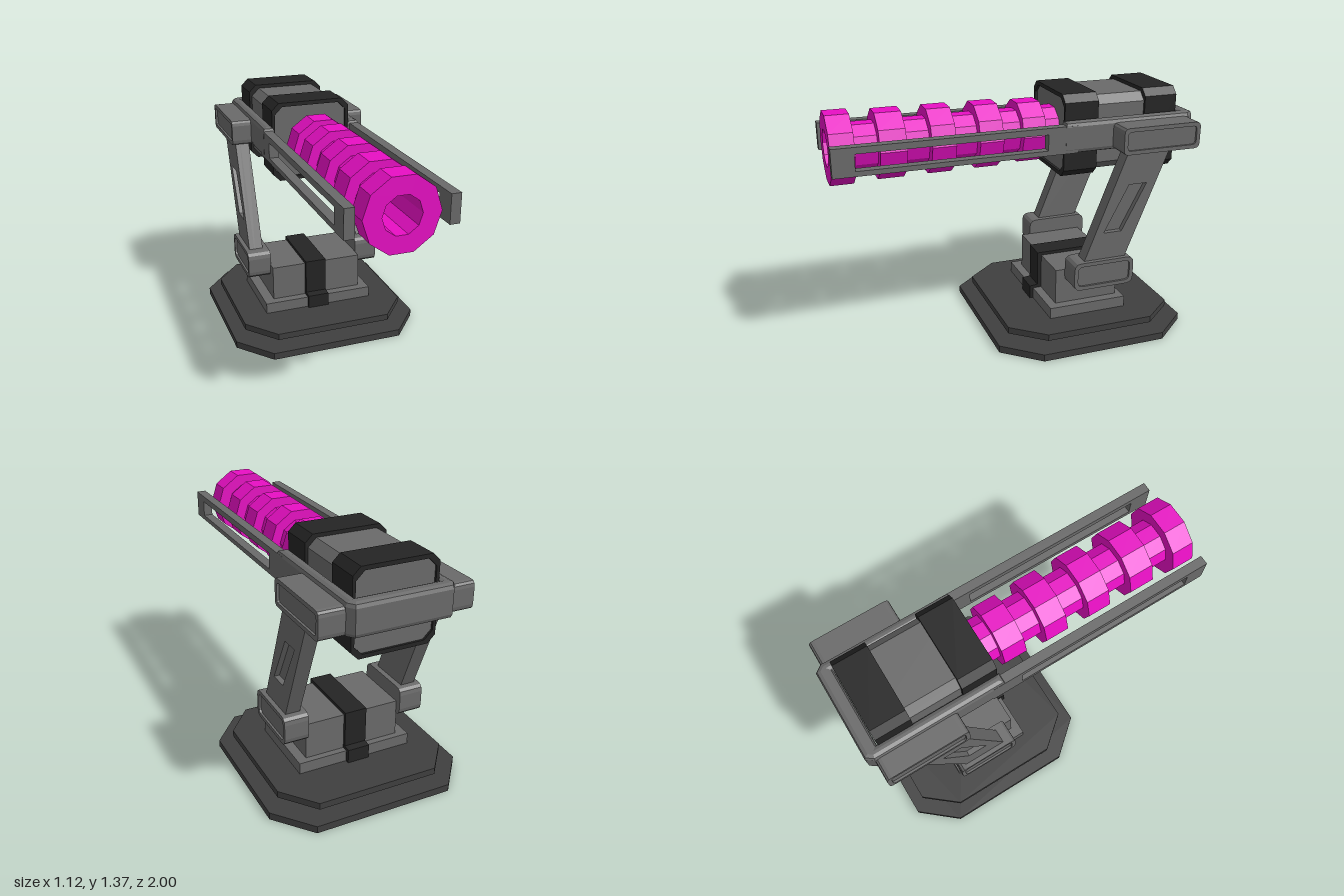
import * as THREE from 'three';

const mat = (color, extra = {}) => new THREE.MeshStandardMaterial({ color, flatShading: true, ...extra });
const AXIS_X = -0.01, AXIS_Y = 1.14;

// Rectangle between two corners with cut or rounded corners of size rx by ry
function cornered(Type, x0, y0, x1, y1, rx, ry = rx) {
  const s = new Type();
  s.moveTo(x0 + rx, y0);
  s.lineTo(x1 - rx, y0).quadraticCurveTo(x1, y0, x1, y0 + ry);
  s.lineTo(x1, y1 - ry).quadraticCurveTo(x1, y1, x1 - rx, y1);
  s.lineTo(x0 + rx, y1).quadraticCurveTo(x0, y1, x0, y1 - ry);
  s.lineTo(x0, y0 + ry).quadraticCurveTo(x0, y0, x0 + rx, y0);
  return s;
}

const polygon = (Type, pts) => new Type(pts.map(([x, y]) => new THREE.Vector2(x, y)));

// curveSegments 1 turns rounded corners into straight chamfers
const extrude = (shape, depth, curveSegments = 1, bevel = 0) => new THREE.ExtrudeGeometry(shape, {
  depth: depth - 2 * bevel, curveSegments, bevelEnabled: bevel > 0,
  bevelSize: bevel, bevelThickness: bevel, bevelOffset: -bevel, bevelSegments: 2,
}).translate(0, 0, bevel);

// Extrude a (z, y) outline across x0..x1
const alongX = (shape, x0, x1, seg) =>
  extrude(shape, x1 - x0, seg).rotateY(-Math.PI / 2).translate(x1, 0, 0);

// Extrude an (x, -z) outline upwards from y0 to y1
const alongY = (shape, y0, y1, bevel) =>
  extrude(shape, y1 - y0, 1, bevel).rotateX(-Math.PI / 2).translate(0, y0, 0);

export function createModel() {
  const model = new THREE.Group();
  model.name = 'mountedCannon';
  const grey = mat(0x6a6a6a), dark = mat(0x3f3f3f), black = mat(0x242424);
  const magenta = mat(0xe80fc4);

  const add = (name, geometry, material, parent = model) => {
    const mesh = new THREE.Mesh(geometry, material);
    mesh.name = name;
    parent.add(mesh);
    return mesh;
  };
  const box = (name, material, x0, x1, y0, y1, z0, z1) =>
    add(name, new THREE.BoxGeometry(x1 - x0, y1 - y0, z1 - z0)
      .translate((x0 + x1) / 2, (y0 + y1) / 2, (z0 + z1) / 2), material);

  // Stepped octagonal base: y0, y1, half width, front z, back z, corner cut
  [
    ['baseLower', 0, 0.04, 0.558, 0.188, -0.932, 0.17, 0.2],
    ['baseMiddle', 0.04, 0.08, 0.385, 0.01, -0.76, 0.11, 0.13],
    ['baseUpper', 0.08, 0.117, 0.49, 0.118, -0.865, 0.15, 0.18],
  ].forEach(([name, y0, y1, w, zf, zb, cx, cz]) =>
    add(name, alongY(cornered(THREE.Shape, -w, -zf, w, -zb, cx, cz), y0, y1), dark));

  // Pedestal with a strap over the middle
  box('pedestalSlab', grey, -0.335, 0.325, 0.115, 0.18, -0.60, -0.14);
  box('pedestalBlock', grey, -0.275, 0.272, 0.115, 0.385, -0.565, -0.19);
  const strap = polygon(THREE.Shape, [
    [-0.12, 0.115], [-0.12, 0.195], [-0.167, 0.2], [-0.167, 0.403],
    [-0.583, 0.403], [-0.583, 0.2], [-0.624, 0.195], [-0.624, 0.115],
  ]);
  add('pedestalStrap', alongX(strap, -0.075, 0.05), black);

  // Support arms: solid core plus an outer rim that leaves a recessed panel
  const armOutline = [[-0.29, 0.42], [-0.58, 1.16], [-0.83, 1.16], [-0.535, 0.42]];
  const armPanel = [[-0.42, 0.625], [-0.56, 0.89], [-0.666, 0.89], [-0.527, 0.625]];
  const recessed = (name, parent, side, outer, inner, x0, x1, recess, seg) => {
    const rim = outer();
    rim.holes.push(inner());
    const span = (a, b) => (side > 0 ? [a, b] : [-b, -a]);
    add(name + 'Core', alongX(outer(), ...span(x0, x1 - recess), seg), grey, parent);
    add(name + 'Rim', alongX(rim, ...span(x1 - recess, x1), seg), grey, parent);
  };
  const knuckle = (name, parent, side, zb, y0, zf, y1, x0, r) => recessed(name, parent, side,
    () => cornered(THREE.Shape, zb, y0, zf, y1, r),
    () => cornered(THREE.Path, zb + 0.022, y0 + 0.022, zf - 0.022, y1 - 0.022, r * 0.7),
    x0, 0.408, 0.012, 3);

  for (const side of [1, -1]) {
    const arm = new THREE.Group();
    arm.name = side > 0 ? 'leftArm' : 'rightArm';
    model.add(arm);
    recessed('strut', arm, side, () => polygon(THREE.Shape, armOutline),
      () => polygon(THREE.Path, armPanel), 0.302, 0.383, 0.03);
    knuckle('lowerKnuckle', arm, side, -0.6, 0.31, -0.243, 0.472, 0.272, 0.04);
    knuckle('upperKnuckle', arm, side, -0.962, 1.065, -0.505, 1.212, 0.27, 0.03);

    // Slotted guide rail beside the barrel
    const rail = polygon(THREE.Shape, [[-0.3, 1.065], [1, 1.065], [1, 1.215], [-0.3, 1.215]]);
    rail.holes.push(polygon(THREE.Path, [[-0.13, 1.092], [0.885, 1.092], [0.885, 1.18], [-0.13, 1.18]]));
    const cx = AXIS_X + side * 0.258;
    add(side > 0 ? 'leftRail' : 'rightRail', alongX(rail, cx - 0.026, cx + 0.026), grey);
  }

  // U-shaped yoke around the back of the housing
  const half = [[0.285, 0.23], [0.285, 0.96], [0.255, 1]];
  const inner = [[0.22, 0.92], [0.22, 0.23]];
  const flip = (pts) => pts.map(([x, y]) => [-x, y]).reverse();
  const yoke = polygon(THREE.Shape, [...half, ...flip(half), ...flip(inner), ...inner]);
  add('yoke', alongY(yoke, 1.06, 1.235, 0.025).translate(AXIS_X, 0, 0), grey);

  // Housing: grey core with two black bands
  const housing = (name, material, w, h, c, zb, zf) =>
    add(name, extrude(cornered(THREE.Shape, -w, -h, w, h, c), zf - zb)
      .translate(AXIS_X - 0.002, AXIS_Y - 0.003, zb), material);
  housing('housingCore', grey, 0.213, 0.208, 0.045, -0.9, -0.26);
  const bandShape = (zb, zf, name) => {
    const s = cornered(THREE.Shape, -0.228, -0.228, 0.228, 0.228, 0.04);
    s.holes.push(cornered(THREE.Path, -0.211, -0.206, 0.211, 0.206, 0.044));
    add(name, extrude(s, zf - zb).translate(AXIS_X - 0.002, AXIS_Y - 0.003, zb), black);
  };
  bandShape(-0.44, -0.245, 'frontBand');
  bandShape(-0.912, -0.72, 'rearBand');

  // Ten-sided hollow barrel with raised rings: back z, front z, radius
  const profile = [[0.13, -0.3]];
  [
    [-0.165, -0.035, 0.173], [0.08, 0.21, 0.182], [0.34, 0.47, 0.184],
    [0.6, 0.74, 0.186], [0.865, 0.99, 0.195],
  ].forEach(([z0, z1, r]) => profile.push([0.127, z0], [r, z0], [r, z1], [0.127, z1]));
  profile.pop();
  profile.push([0.1, 0.99], [0.1, -0.3]);
  const barrel = new THREE.LatheGeometry(
    profile.map(([r, z]) => new THREE.Vector2(r, z)), 10, Math.PI / 2);
  add('barrel', barrel.rotateX(Math.PI / 2).translate(AXIS_X, AXIS_Y, 0), magenta);

  return model;
}
